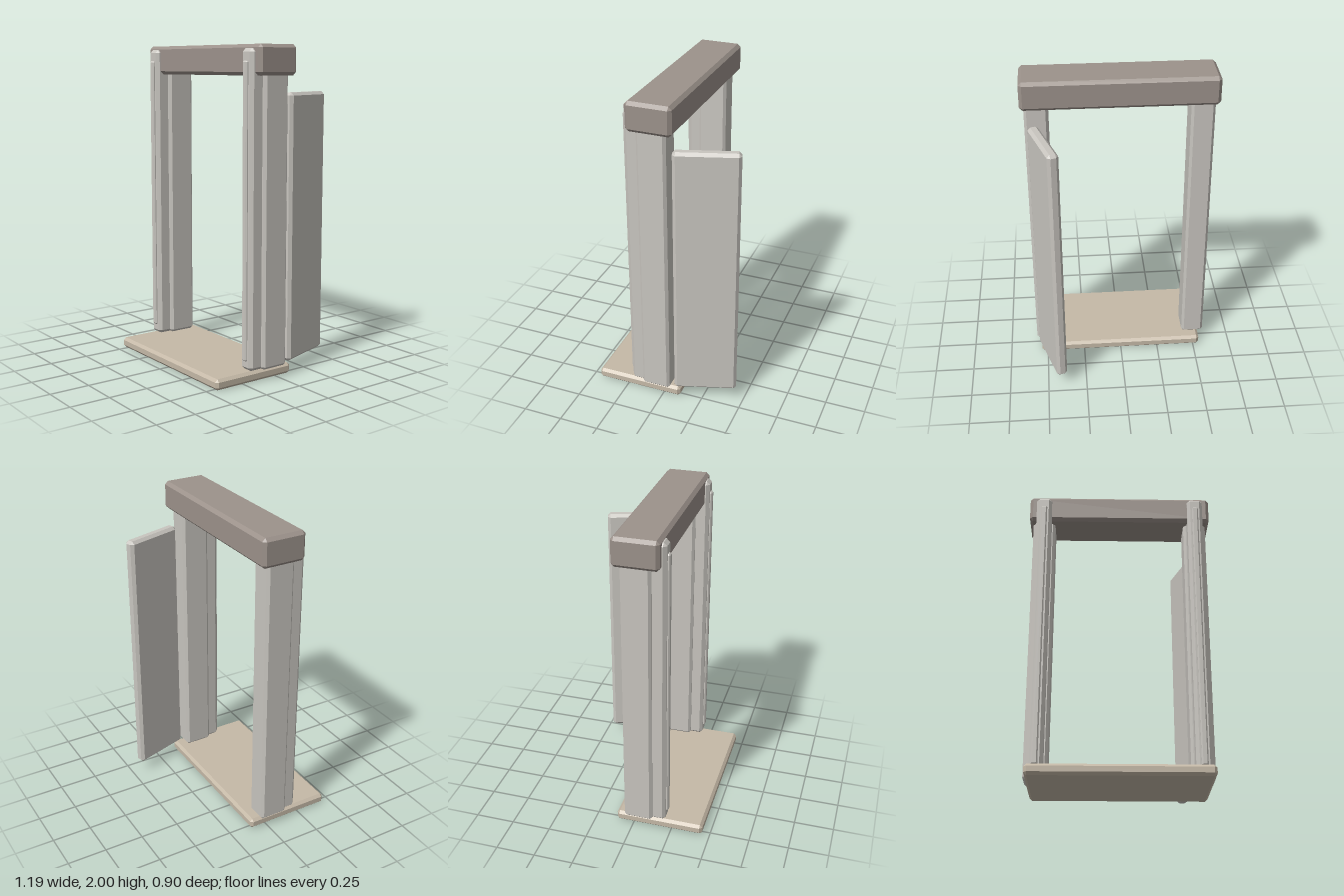
import * as THREE from 'three';
import { ConvexGeometry } from 'three/addons/geometries/ConvexGeometry.js';

const material = (name, color) => {
  const m = new THREE.MeshStandardMaterial({ color });
  m.name = name;
  return m;
};

// Box with every edge cut by a flat chamfer c
function chamferBox(w, h, d, c) {
  const x = w / 2, y = h / 2, z = d / 2, points = [];
  for (const sx of [-1, 1]) for (const sy of [-1, 1]) for (const sz of [-1, 1]) {
    points.push(
      new THREE.Vector3(sx * x, sy * (y - c), sz * (z - c)),
      new THREE.Vector3(sx * (x - c), sy * y, sz * (z - c)),
      new THREE.Vector3(sx * (x - c), sy * (y - c), sz * z)
    );
  }
  return new ConvexGeometry(points);
}

export function createModel() {
  const model = new THREE.Group();
  model.name = 'doorway';
  const lintelStone = material('lintel taupe', 0x9c928b);
  const paleGrey = material('pale grey', 0xc8c5bf);
  const sand = material('threshold sand', 0xc5b9a7);

  // Place a chamfered block by its minimum and maximum corners
  const block = (name, mat, min, max, c) => {
    const size = max.map((v, i) => v - min[i]);
    const mesh = new THREE.Mesh(chamferBox(...size, c), mat);
    mesh.position.set(...max.map((v, i) => (v + min[i]) / 2));
    mesh.name = name;
    model.add(mesh);
    return mesh;
  };

  // Lintel and threshold slab
  block('lintel', lintelStone, [-0.593, 1.82, -0.097], [0.593, 2, 0.185], 0.02);
  block('threshold', sand, [-0.539, 0, -0.112], [0.539, 0.067, 0.452], 0.017);

  // Jambs: a wide post, a front pilaster and a slim raised rib
  for (const [side, s] of [['left', 1], ['right', -1]]) {
    const x = 0.498 * s;
    const jambPart = (name, width, y0, y1, z0, z1, c) =>
      block(side + name, paleGrey, [x - width / 2, y0, z0], [x + width / 2, y1, z1], c);
    jambPart('Post', 0.145, 0.07, 1.9, -0.052, 0.13, 0.016);
    jambPart('Pilaster', 0.1, 0.07, 1.977, 0.08, 0.212, 0.02);
    jambPart('Rib', 0.04, 0.13, 1.905, 0.195, 0.226, 0.008);
  }

  // Door leaf swung open to the back
  const door = block('door', paleGrey, [-0.035, 0.08, -0.196], [0.035, 1.72, 0.196], 0.018);
  door.position.x = 0.464;
  door.position.z = -0.261;
  door.rotation.y = 0.31;

  return model;
}
